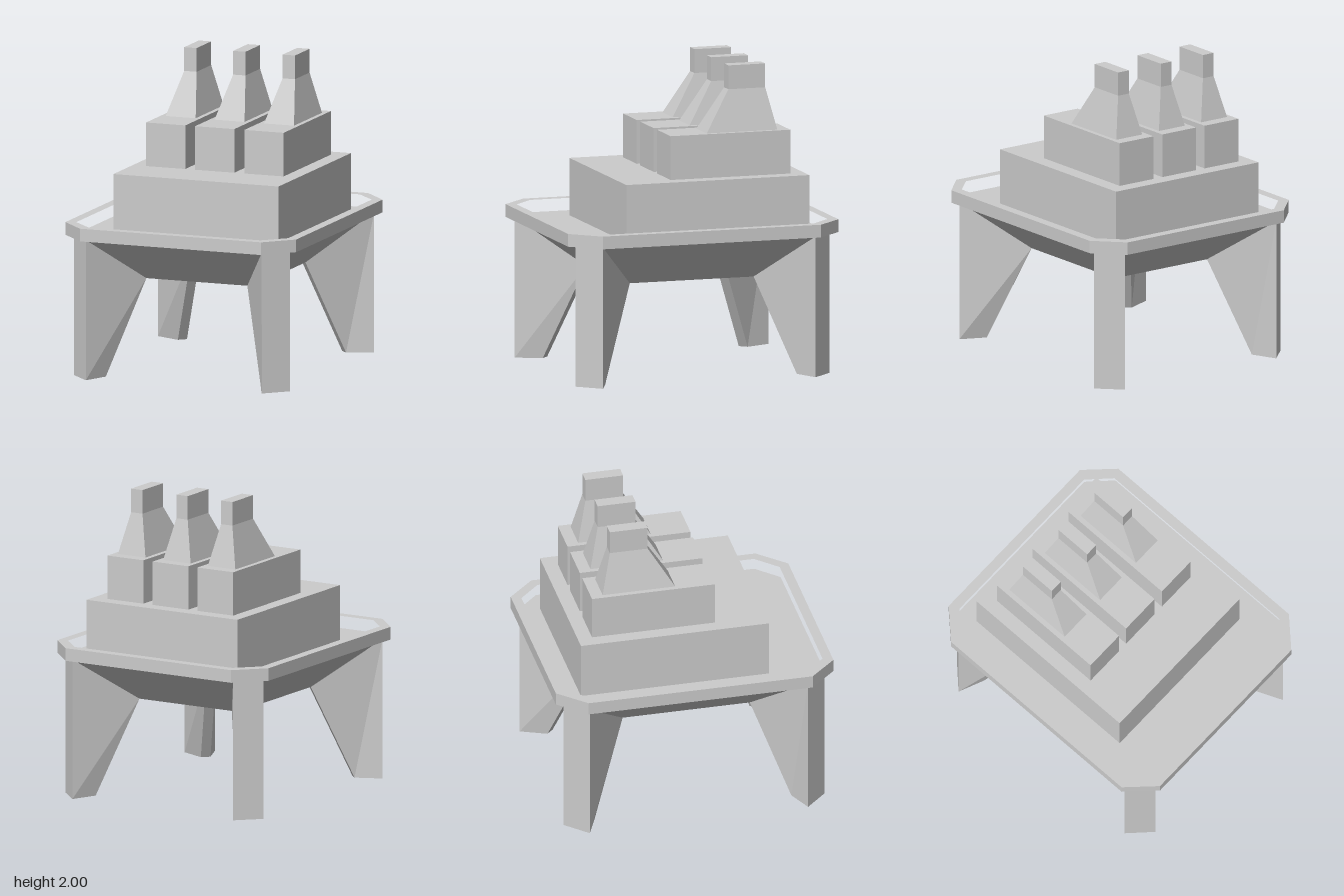
import * as THREE from 'three';

const material = new THREE.MeshStandardMaterial({ color: 0xcccccc, flatShading: true });

// Skin a stack of rings, each counter-clockwise seen from above, with flat caps
function loft(rings) {
  const pos = [];
  const tri = (a, b, c) => pos.push(...a, ...b, ...c);
  const n = rings[0].length;
  for (let r = 0; r < rings.length - 1; r++) {
    for (let i = 0; i < n; i++) {
      const j = (i + 1) % n;
      const [a, b, c, d] = [rings[r][i], rings[r][j], rings[r + 1][j], rings[r + 1][i]];
      tri(a, b, c);
      tri(a, c, d);
    }
  }
  const bottom = rings[0], top = rings[rings.length - 1];
  for (let i = 1; i < n - 1; i++) {
    tri(bottom[0], bottom[i + 1], bottom[i]);
    tri(top[0], top[i], top[i + 1]);
  }
  const geo = new THREE.BufferGeometry();
  geo.setAttribute('position', new THREE.Float32BufferAttribute(pos, 3));
  geo.computeVertexNormals();
  return geo;
}

// Rectangle with chamfered corners, as [x, z] pairs
const octagon = (x, z, cx, cz = cx) => [
  [x - cx, z], [x, z - cz], [x, cz - z], [x - cx, -z],
  [cx - x, -z], [-x, cz - z], [-x, z - cz], [cx - x, z],
];
const rect = (x0, x1, z0, z1) => [[x0, z1], [x1, z1], [x1, z0], [x0, z0]];
const atHeight = (points, y) => points.map(([x, z]) => [x, y, z]);

export function createModel() {
  const model = new THREE.Group();
  const add = (name, geo) => {
    const mesh = new THREE.Mesh(geo, material);
    mesh.name = name;
    model.add(mesh);
    return mesh;
  };
  const box = (name, x0, x1, y0, y1, z0, z1) =>
    add(name, new THREE.BoxGeometry(x1 - x0, y1 - y0, z1 - z0))
      .position.set((x0 + x1) / 2, (y0 + y1) / 2, (z0 + z1) / 2);

  const deckY = 0.917, hullY = 0.617;

  // Raised rim around the deck
  const toVectors = (pts) => pts.map(([x, z]) => new THREE.Vector2(x, z));
  const rimShape = new THREE.Shape(toVectors(octagon(0.8, 0.917, 0.172, 0.177)));
  rimShape.holes.push(new THREE.Path(toVectors(octagon(0.735, 0.853, 0.138))));
  const rim = new THREE.ExtrudeGeometry(rimShape, { depth: 1 - deckY, bevelEnabled: false });
  rim.rotateX(-Math.PI / 2);
  add('rim', rim).position.y = deckY;

  // Tapered underside, whose top is the sunken deck
  add('taperedBase', loft([
    atHeight(octagon(0.395, 0.465, 0.045), hullY),
    atHeight(octagon(0.75, 0.862, 0.141), deckY),
  ]));

  // Four corner legs running into the chamfers of the base
  for (const sx of [1, -1]) {
    for (const sz of [1, -1]) {
      const foot = [[0.609, 0, 0.862], [0.75, 0, 0.721], [0.583, 0, 0.65], [0.538, 0, 0.695]];
      const head = [
        [0.609, deckY, 0.862], [0.75, deckY, 0.721],
        [0.395, hullY, 0.42], [0.35, hullY, 0.465],
      ];
      const rings = [foot, head].map((ring) => {
        const r = ring.map(([x, y, z]) => [x * sx, y, z * sz]);
        return sx * sz < 0 ? r.reverse() : r;
      });
      add((sz > 0 ? 'front' : 'back') + (sx > 0 ? 'Left' : 'Right') + 'Leg', loft(rings));
    }
  }

  // Main block on the deck
  box('mainBlock', -0.562, 0.583, deckY, 1.29, -0.735, 0.507);

  // Three upper blocks, each with a tapered chimney set to the back
  [-0.335, 0.005, 0.347].forEach((x, i) => {
    box('upperBlock' + (i + 1), x - 0.136, x + 0.136, 1.29, 1.575, -0.64, 0.172);
  });
  [-0.334, 0.005, 0.348].forEach((x, i) => {
    const neck = rect(x - 0.043, x + 0.043, -0.5, -0.25);
    add('chimney' + (i + 1), loft([
      atHeight(rect(x - 0.104, x + 0.104, -0.562, -0.083), 1.575),
      atHeight(neck, 1.845),
      atHeight(neck, 2),
    ]));
  });

  return model;
}
